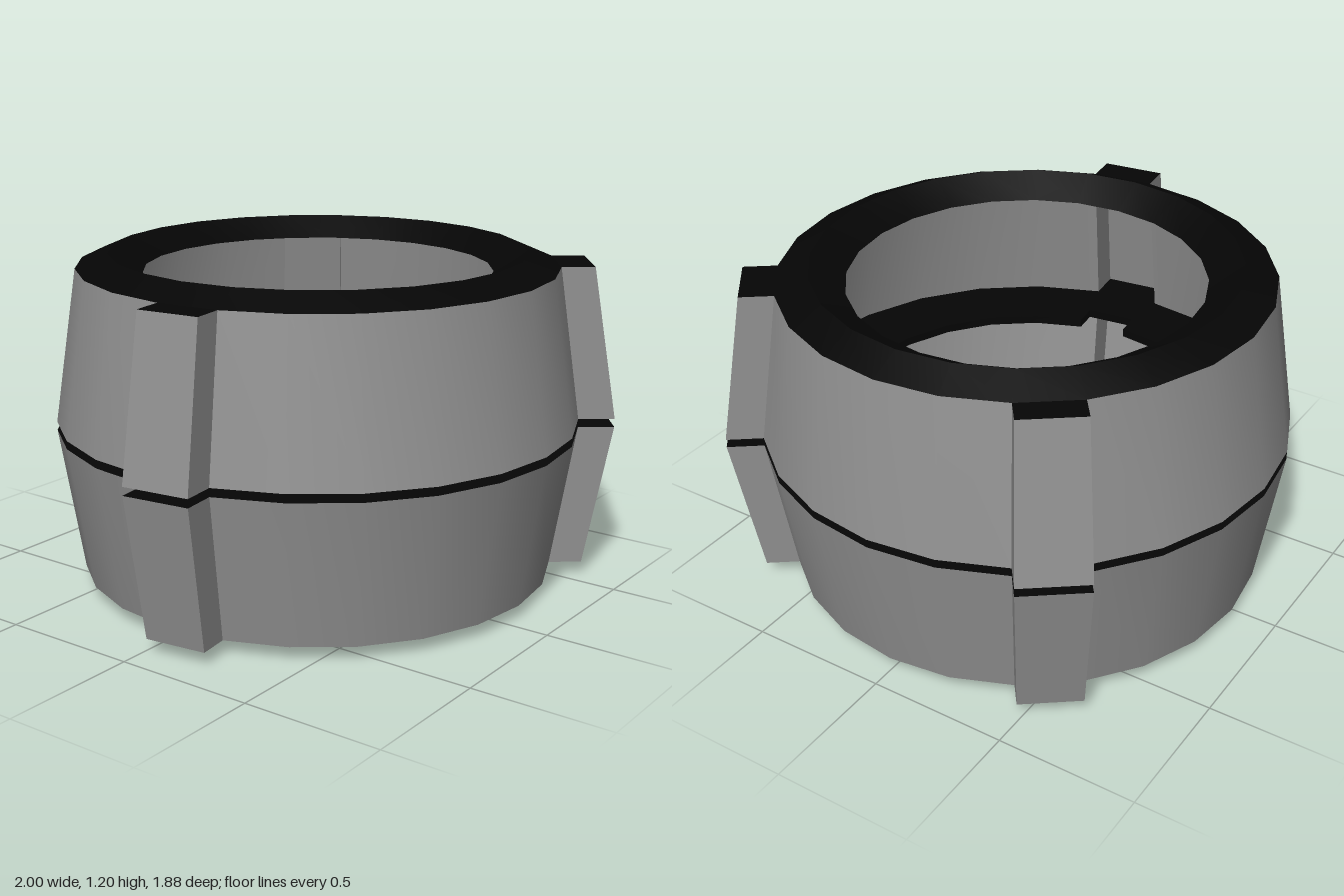
import * as THREE from 'three';
import { toCreasedNormals } from 'three/addons/utils/BufferGeometryUtils.js';

const SIDES = 24, R = 0.938, CENTRE_X = 0.06;
const LUGS = { 3: 0.131, 11: 0.122, 21: 0.103 }; // facet index -> how far it stands out

// Two matching loops: the plain round one, and the one with the three lugs
const round = [], lugged = [];
const corner = (k) => {
  const a = (k * Math.PI * 2) / SIDES;
  return [R * Math.cos(a), R * Math.sin(a)];
};
for (let k = 0; k < SIDES; k++) {
  const p = corner(k), q = corner(k + 1);
  round.push(p);
  lugged.push(p);
  if (LUGS[k]) {
    const a = ((k + 0.5) * Math.PI * 2) / SIDES;
    const dx = LUGS[k] * Math.cos(a), dz = LUGS[k] * Math.sin(a);
    round.push(p, q);
    lugged.push([p[0] + dx, p[1] + dz], [q[0] + dx, q[1] + dz]);
  }
}

// Joins sections [loop, y, scale] from bottom to top, skipping collapsed triangles
function loft(sections) {
  const pos = [];
  const point = ([loop, y, s], i) => {
    const [x, z] = loop[i % loop.length];
    return new THREE.Vector3(x * s, y, z * s);
  };
  const tri = (a, b, c) => {
    const area = b.clone().sub(a).cross(c.clone().sub(a)).length();
    if (area > 1e-7) for (const v of [a, b, c]) pos.push(v.x, v.y, v.z);
  };
  for (let j = 0; j < sections.length - 1; j++) {
    for (let i = 0; i < round.length; i++) {
      const a = point(sections[j], i), b = point(sections[j], i + 1);
      const d = point(sections[j + 1], i), c = point(sections[j + 1], i + 1);
      tri(a, d, c);
      tri(a, c, b);
    }
  }
  const g = new THREE.BufferGeometry();
  g.setAttribute('position', new THREE.Float32BufferAttribute(pos, 3));
  return toCreasedNormals(g, 0.35);
}

export function createModel() {
  const grey = new THREE.MeshStandardMaterial({ color: 0x919191, side: THREE.DoubleSide });
  grey.name = 'grey shell';
  const black = new THREE.MeshStandardMaterial({ color: 0x050505, side: THREE.DoubleSide });
  black.name = 'black trim';

  const group = new THREE.Group();
  group.name = 'drum';
  group.position.x = CENTRE_X;
  const add = (name, material, sections) => {
    const mesh = new THREE.Mesh(loft(sections), material);
    mesh.name = name;
    group.add(mesh);
  };

  const END = 0.912; // taper of the walls towards both ends
  const FLAT = 0.74 / R, HOLE = 0.62 / R, CORE = 0.73;

  // Thin tapered walls, lugs included
  add('lowerWall', grey, [[lugged, 0.05, END], [lugged, 0.57, 1]]);
  add('upperWall', grey, [[lugged, 0.6, 1], [lugged, 1.15, END]]);

  // Closed base with bevel and lug undersides
  add('base', black, [[round, 0, 0], [round, 0, FLAT], [round, 0.05, END], [lugged, 0.05, END]]);

  // Groove between the halves, open in the middle so the hollow reaches the base
  add('groove', black, [[lugged, 0.57, 1], [lugged, 0.57, CORE], [lugged, 0.6, CORE], [lugged, 0.6, 1]]);

  // Top rim: lug tops, outer bevel, then sloping down to the opening
  add('topRim', black, [[lugged, 1.15, END], [round, 1.15, END], [round, 1.2, FLAT], [round, 1.13, HOLE]]);

  const model = new THREE.Group();
  model.name = 'model';
  model.add(group);
  return model;
}
